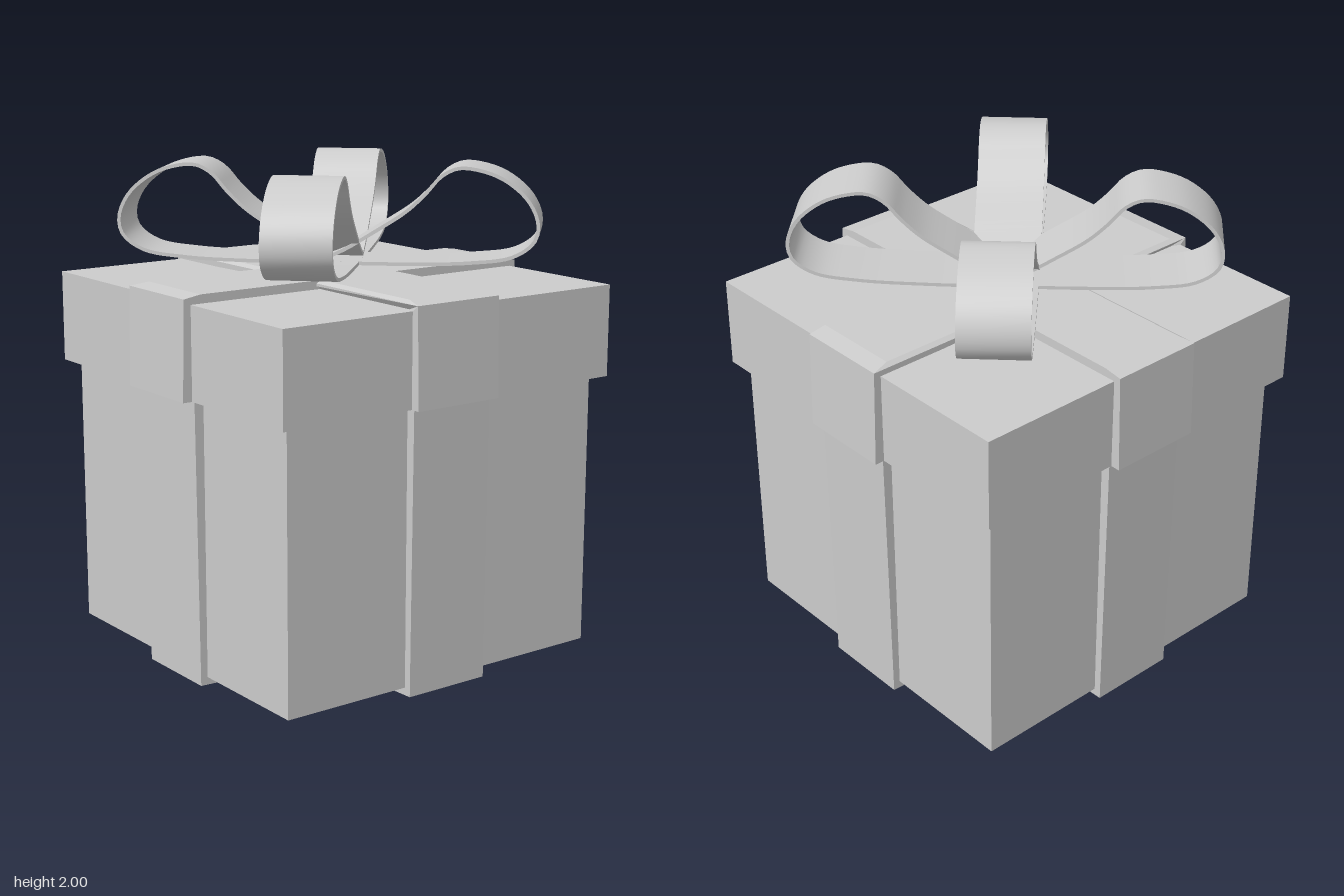
import * as THREE from 'three';
import { toCreasedNormals } from 'three/addons/utils/BufferGeometryUtils.js';

const material = new THREE.MeshStandardMaterial({ color: 0xcccccc });

function addMesh(parent, name, geometry) {
  const mesh = new THREE.Mesh(geometry, material);
  mesh.name = name;
  parent.add(mesh);
  return mesh;
}

function addBox(parent, name, half, y0, y1) {
  const mesh = addMesh(parent, name, new THREE.BoxGeometry(half * 2, y1 - y0, half * 2));
  mesh.position.y = (y0 + y1) / 2;
}

// Extrudes a half profile mirrored about x = 0; the band runs along x, its width along z
function bandGeometry(half, flare) {
  const pts = [...half, ...half.slice().reverse().map(([x, y]) => [-x, y])];
  const shape = new THREE.Shape(pts.map(([x, y]) => new THREE.Vector2(x, y)));
  const geo = new THREE.ExtrudeGeometry(shape, { depth: 0.37, bevelEnabled: false });
  geo.translate(0, 0, -0.18);
  // One edge flares slightly where the band hangs down the sides
  const p = geo.attributes.position;
  for (let i = 0; i < p.count; i++) {
    if (Math.abs(p.getX(i)) > 0.78 && p.getZ(i) > 0) p.setZ(i, 0.19 + flare);
  }
  geo.computeVertexNormals();
  return geo;
}

function addCrossedBands(parent, name, half, flare) {
  const geo = bandGeometry(half, flare);
  addMesh(parent, name + 'SideToSide', geo);
  const other = addMesh(parent, name + 'FrontToBack', geo);
  other.rotation.y = -Math.PI / 2;
  other.position.x = 0.015;
}

// One bow loop: a thin strip following a teardrop curve
function loopGeometry() {
  const path = [
    [0, 1.612], [0.3, 1.613], [0.57, 1.623], [0.74, 1.65], [0.822, 1.71], [0.835, 1.78],
    [0.795, 1.87], [0.7, 1.95], [0.6, 1.986], [0.52, 1.991], [0.455, 1.958], [0.395, 1.89],
    [0.32, 1.82], [0.19, 1.735], [0.08, 1.668], [0, 1.63],
  ];
  const curve = new THREE.CatmullRomCurve3(path.map(([x, y]) => new THREE.Vector3(x, y, 0)));
  const n = 72, outer = [], inner = [];
  for (let i = 0; i <= n; i++) {
    const c = curve.getPointAt(i / n), t = curve.getTangentAt(i / n);
    outer.push(new THREE.Vector2(c.x + t.y * 0.007, c.y - t.x * 0.007));
    inner.push(new THREE.Vector2(c.x - t.y * 0.007, c.y + t.x * 0.007));
  }
  const shape = new THREE.Shape([...outer, ...inner.reverse()]);
  const geo = new THREE.ExtrudeGeometry(shape, { depth: 0.268, bevelEnabled: false });
  geo.translate(0, 0, -0.134);
  return toCreasedNormals(geo, 0.7);
}

export function createModel() {
  const model = new THREE.Group();
  model.name = 'giftBox';

  // Box and lid
  addBox(model, 'boxBody', 0.74, 0.05, 1.2);
  addBox(model, 'lid', 0.79, 1.16, 1.53);

  // Ribbon wrapped under the body and over the lid
  addCrossedBands(model, 'bodyRibbon',
    [[0.17, 0], [0.77, 0.02], [0.78, 1.17], [0.735, 1.17], [0.735, 0.055]], 0);
  addCrossedBands(model, 'lidRibbon',
    [[0.735, 1.525], [0.785, 1.525], [0.785, 1.16], [0.83, 1.16], [0.82, 1.553], [0.745, 1.565]], 0.02);

  // Bow of four diagonal loops
  const bow = new THREE.Group();
  bow.name = 'bow';
  const loop = loopGeometry();
  for (let i = 0; i < 4; i++) {
    addMesh(bow, 'bowLoop' + (i + 1), loop).rotation.y = Math.PI / 4 + (i * Math.PI) / 2;
  }
  model.add(bow);
  return model;
}
